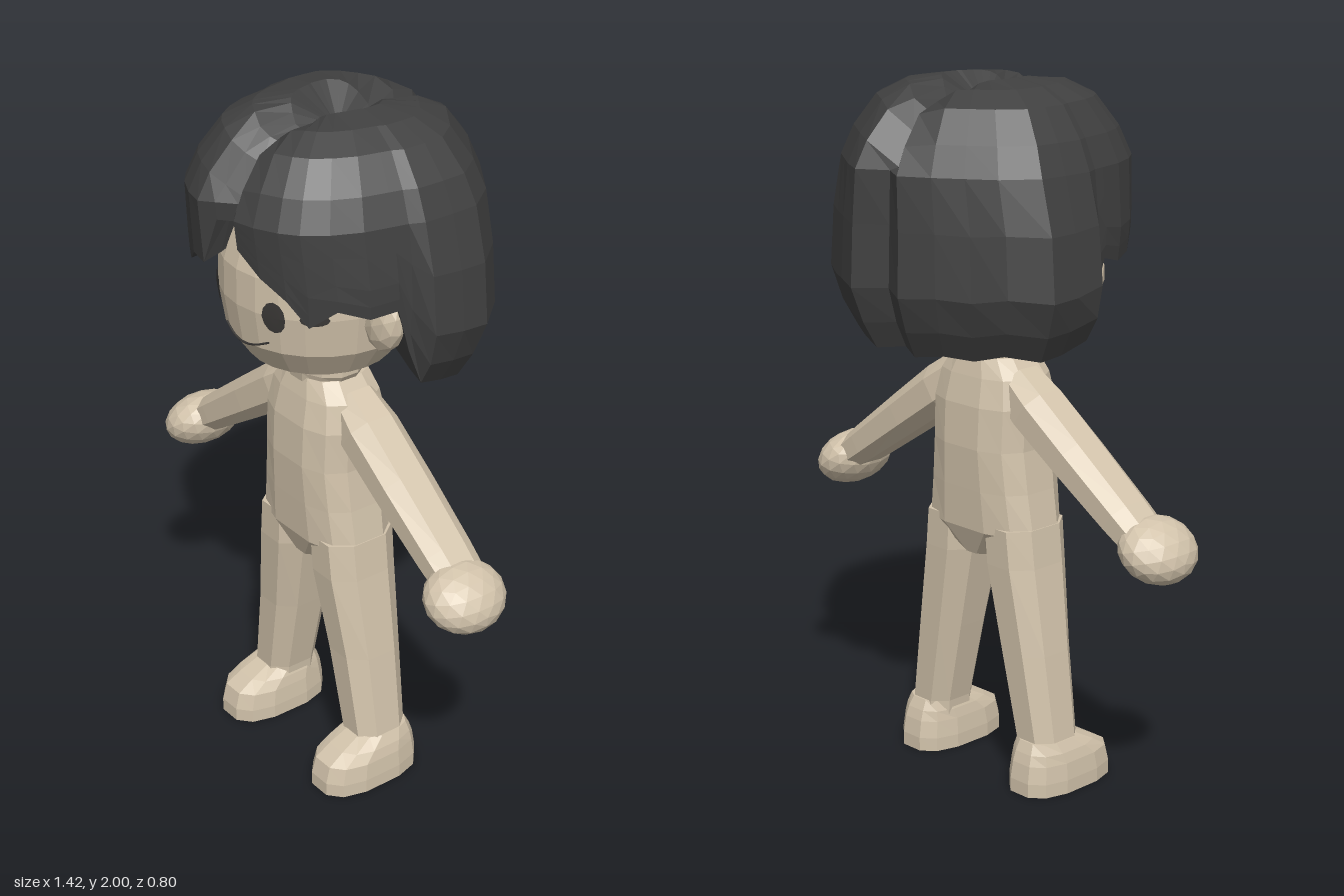
import * as THREE from 'three';

const skin = new THREE.MeshStandardMaterial({ color: 0xd2c3ab, flatShading: true });
skin.name = 'skin';
const hairMat = new THREE.MeshStandardMaterial({ color: 0x404040, flatShading: true, side: THREE.DoubleSide });
hairMat.name = 'charcoal hair';
const ink = new THREE.MeshStandardMaterial({ color: 0x3a3836, side: THREE.DoubleSide });
ink.name = 'dark eyes';

function part(name, geometry, material) {
  const mesh = new THREE.Mesh(geometry, material);
  mesh.name = name;
  return mesh;
}

// Joins closed rings of points (top to bottom) into a capped surface
function surface(rings) {
  const n = rings[0].length;
  const centre = (ring) => {
    const c = [0, 1, 2].map((k) => ring.reduce((sum, p) => sum + p[k], 0) / n);
    return ring.map(() => c);
  };
  const rows = [centre(rings[0]), ...rings, centre(rings[rings.length - 1])];
  const index = [];
  for (let r = 0; r < rows.length - 1; r++) {
    for (let j = 0; j < n; j++) {
      const a = r * n + j, b = r * n + (j + 1) % n;
      if (r < rows.length - 2) index.push(a, a + n, b + n);
      if (r > 0) index.push(a, b + n, b);
    }
  }
  const g = new THREE.BufferGeometry();
  g.setAttribute('position', new THREE.Float32BufferAttribute(rows.flat(2), 3));
  g.setIndex(index);
  g.computeVertexNormals();
  return g;
}

// Rounded cross-sections: [x, y, z, half width, half depth]
function loft(sections, sides = 10, power = 0.8) {
  const round = (v) => Math.sign(v) * Math.abs(v) ** power;
  return surface(sections.map(([x, y, z, rx, rz]) => Array.from({ length: sides }, (_, i) => {
    const a = ((i + 0.5) / sides) * Math.PI * 2;
    return [x + rx * round(Math.sin(a)), y, z + rz * round(Math.cos(a))];
  })));
}

// Piecewise linear lookup in [key, value] pairs with rising keys
function lookup(table, key) {
  for (let i = 1; i < table.length; i++) {
    const [k0, v0] = table[i - 1], [k1, v1] = table[i];
    if (key <= k1) return THREE.MathUtils.lerp(v0, v1, Math.max(0, (key - k0) / (k1 - k0)));
  }
  return table[table.length - 1][1];
}

// Head profile: [height, radius]
const headProfile = [[1.265, 0], [1.27, 0.1], [1.31, 0.2], [1.39, 0.255], [1.5, 0.272],
  [1.6, 0.27], [1.7, 0.24], [1.79, 0.15], [1.82, 0]];
const HEAD_Z = 0.06;
const faceZ = (x, y) => HEAD_Z + Math.sqrt(Math.max(0, lookup(headProfile, y) ** 2 - x * x)) + 0.005;

// Oval laid on the curve of the face
function facePatch(cx, cy, rx, ry) {
  const g = new THREE.CircleGeometry(1, 12);
  const p = g.attributes.position;
  for (let i = 0; i < p.count; i++) {
    const x = cx + p.getX(i) * rx, y = cy + p.getY(i) * ry;
    p.setXYZ(i, x, y, faceZ(x, y));
  }
  g.computeVertexNormals();
  return g;
}

function createHead() {
  const head = new THREE.Group();
  head.name = 'head';
  const skull = new THREE.LatheGeometry(headProfile.map(([y, r]) => new THREE.Vector2(r, y)), 24);
  skull.translate(0, 0, HEAD_Z);
  head.add(part('skull', skull, skin));
  for (const s of [-1, 1]) {
    const side = s > 0 ? 'left' : 'right';
    const ear = part(side + 'Ear', new THREE.IcosahedronGeometry(1, 1), skin);
    ear.scale.set(0.065, 0.09, 0.045);
    ear.position.set(s * 0.3, 1.49, 0.075);
    ear.rotation.z = -s * 0.25;
    head.add(ear, part(side + 'Eye', facePatch(s * 0.125, 1.5, 0.03, 0.045), ink));
    head.add(part(side + 'Temple', facePatch(s * 0.21, 1.505, 0.025, 0.018), ink));
  }
  const smile = [[-0.08, 1.412], [-0.03, 1.392], [0.01, 1.387], [0.06, 1.4], [0.1, 1.418]]
    .map(([x, y]) => new THREE.Vector3(x, y, faceZ(x, y) - 0.002));
  head.add(part('mouth', new THREE.TubeGeometry(new THREE.CatmullRomCurve3(smile), 12, 0.003, 5), ink));
  return head;
}

function createHair() {
  // Outline from front to back: [x, z, hem height on right, hem height on left]
  const half = [
    [0, 0.32, 1.73, 1.73], [0.05, 0.36, 1.73, 1.73], [0.09, 0.39, 1.6, 1.7], [0.16, 0.375, 1.6, 1.64],
    [0.23, 0.345, 1.55, 1.59], [0.28, 0.31, 1.57, 1.52], [0.33, 0.25, 1.53, 1.57], [0.37, 0.17, 1.52, 1.54],
    [0.39, 0.09, 1.54, 1.55], [0.4, 0.05, 1.42, 1.42], [0.42, 0.01, 1.33, 1.32], [0.42, -0.08, 1.3, 1.3],
    [0.415, -0.16, 1.29, 1.29], [0.34, -0.25, 1.31, 1.3], [0.26, -0.3, 1.29, 1.29], [0.18, -0.35, 1.3, 1.3],
    [0.09, -0.395, 1.29, 1.29], [0, -0.345, 1.3, 1.3],
  ];
  const columns = [
    ...half.map(([x, z, , hem]) => ({ x, z, hem })),
    ...half.slice(1, -1).reverse().map(([x, z, hem]) => ({ x: -x, z, hem })),
  ];
  const backFlare = [[1.29, 0.84], [1.43, 1.03], [1.78, 1]];
  const widen = [[1.6, 1], [1.78, 0.9]];
  const at = (c, y, f) => {
    const flare = c.z > 0.03 ? 1 - 0.25 * Math.max(0, 1.78 - y) : lookup(backFlare, y);
    return [c.x * f * flare * lookup(widen, y), y, c.z * f * flare];
  };
  // Crown, creased along the middle parting
  const crown = [[0.02, 1.995], [0.3, 2], [0.55, 1.985], [0.75, 1.945], [0.91, 1.86], [1, 1.78]];
  const rings = crown.map(([f, y]) => columns.map((c) => {
    const p = at(c, y, f);
    if (y > 1.8) p[1] -= 0.075 * Math.exp(-((p[0] / 0.05) ** 2));
    return p;
  }));
  // Locks falling to the uneven hem
  for (const t of [0.3, 0.65, 0.85, 1]) {
    rings.push(columns.map((c) => at(c, THREE.MathUtils.lerp(1.78, c.hem, t), 1)));
  }
  // Underside tucked in to the head
  for (const [f, lift] of [[0.87, 0.02], [0.4, 0.12]]) {
    rings.push(columns.map((c) => {
      const [x, , z] = at(c, c.hem, f);
      return [x, c.hem + lift, z];
    }));
  }
  return part('hair', surface(rings), hairMat);
}

function createArm(s) {
  const arm = new THREE.Group();
  arm.name = s > 0 ? 'leftArm' : 'rightArm';
  arm.add(part('sleeve', loft([
    [0, 0.6, 0, 0.05, 0.075], [0, 0.5, 0, 0.058, 0.08], [0, 0.28, 0, 0.068, 0.085],
    [0, 0.1, 0, 0.075, 0.085], [0, 0, 0, 0.07, 0.07],
  ], 8), skin));
  const hand = part('hand', new THREE.IcosahedronGeometry(1, 2), skin);
  hand.scale.set(0.078, 0.105, 0.122);
  hand.position.set(0, 0.625, 0.015);
  arm.add(hand);
  arm.position.set(s * 0.1, 1.155, 0.03);
  arm.rotation.z = -s * 2.183;
  return arm;
}

function createLeg(s) {
  const leg = new THREE.Group();
  leg.name = s > 0 ? 'leftLeg' : 'rightLeg';
  leg.add(part('shin', loft([
    [s * 0.115, 0.76, 0.04, 0.09, 0.12], [s * 0.125, 0.65, 0.04, 0.093, 0.118],
    [s * 0.17, 0.4, 0.035, 0.086, 0.1], [s * 0.215, 0.15, 0.035, 0.076, 0.088], [s * 0.22, 0.08, 0.035, 0.076, 0.088],
  ], 8), skin));
  leg.add(part('foot', loft([
    [s * 0.222, 0.15, 0.03, 0.07, 0.085], [s * 0.224, 0.12, 0.055, 0.083, 0.125], [s * 0.225, 0.09, 0.075, 0.09, 0.155],
    [s * 0.225, 0.04, 0.078, 0.095, 0.166], [s * 0.225, 0, 0.078, 0.095, 0.166],
  ], 12, 0.75), skin));
  return leg;
}

export function createModel() {
  const model = new THREE.Group();
  model.name = 'figure';
  model.add(part('torso', loft([
    [0, 1.235, 0.04, 0.11, 0.1], [0, 1.18, 0.04, 0.155, 0.115], [0, 1.1, 0.04, 0.172, 0.132],
    [0, 0.98, 0.04, 0.17, 0.138], [0, 0.86, 0.04, 0.185, 0.132], [0, 0.74, 0.04, 0.205, 0.125],
    [0, 0.66, 0.04, 0.05, 0.095],
  ], 12, 0.7), skin));
  model.add(part('neck', loft([
    [0, 1.34, 0.05, 0.09, 0.09], [0, 1.285, 0.05, 0.095, 0.09], [0, 1.275, 0.05, 0.125, 0.1],
    [0, 1.25, 0.05, 0.125, 0.1], [0, 1.22, 0.045, 0.105, 0.1],
  ], 12, 1), skin));
  for (const s of [-1, 1]) model.add(createArm(s), createLeg(s));
  model.add(createHead(), createHair());
  return model;
}
